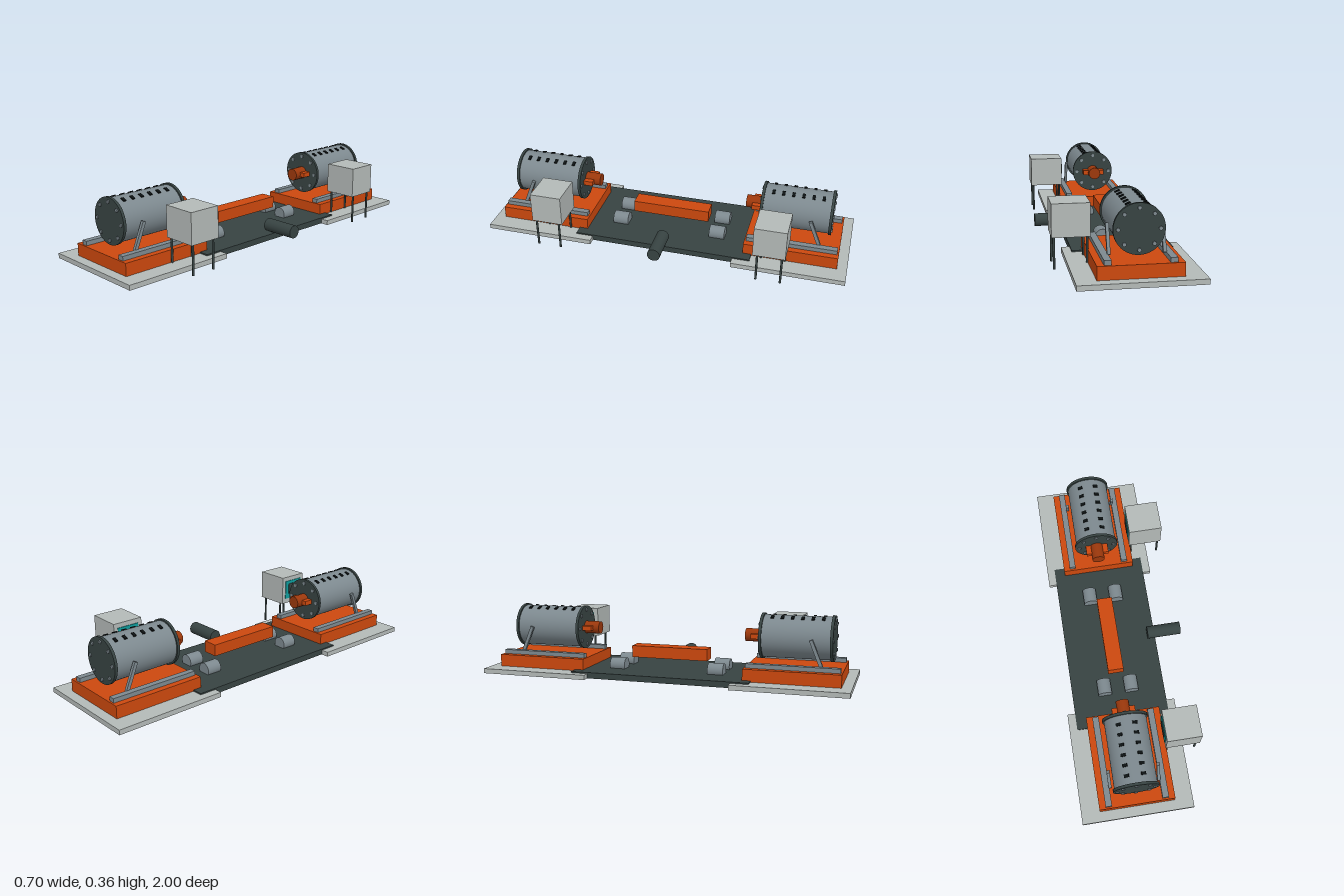
import * as THREE from 'three';

const mat = (name, color) => {
  const m = new THREE.MeshStandardMaterial({ color });
  m.name = name;
  return m;
};

export function createModel() {
  const M = {
    concrete: mat('concrete grey', 0xb3b9b7),
    dark: mat('dark slate', 0x374342),
    orange: mat('machine orange', 0xcc480e),
    rust: mat('rust orange', 0x9c380c),
    steel: mat('steel grey', 0x7d898f),
    teal: mat('teal', 0x0f9c9c),
    black: mat('slot black', 0x0c1112),
  };

  const add = (parent, name, geo, material, x, y, z) => {
    const mesh = new THREE.Mesh(geo, material);
    mesh.name = name;
    mesh.position.set(x, y, z);
    parent.add(mesh);
    return mesh;
  };
  // box given by its limits
  const box = (parent, name, material, x0, x1, y0, y1, z0, z1) =>
    add(parent, name, new THREE.BoxGeometry(x1 - x0, y1 - y0, Math.abs(z1 - z0)), material,
      (x0 + x1) / 2, (y0 + y1) / 2, (z0 + z1) / 2);
  // cylinder lying along z between two limits
  const rodZ = (parent, name, material, r, x, y, z0, z1, sides = 40) => {
    const geo = new THREE.CylinderGeometry(r, r, Math.abs(z1 - z0), sides).rotateX(Math.PI / 2);
    return add(parent, name, geo, material, x, y, (z0 + z1) / 2);
  };

  const root = new THREE.Group();
  root.name = 'twinDrumMachine';

  // central deck with beam, rollers and side pipe
  box(root, 'deck', M.dark, -0.31, 0.207, 0.001, 0.033, -0.49, 0.49);
  box(root, 'centreBeam', M.orange, -0.094, -0.008, 0.09, 0.154, -0.215, 0.215);
  for (const x of [-0.127, 0.023])
    for (const s of [1, -1])
      rodZ(root, 'roller', M.steel, 0.038, x, 0.052, s * 0.235, s * 0.32);
  add(root, 'sidePipe', new THREE.CylinderGeometry(0.035, 0.035, 0.189, 32).rotateZ(Math.PI / 2),
    M.dark, 0.2575, 0.073, 0);

  // drum with flanges, bolts, slots and shaft; s = +1 front, -1 back
  const drum = (parent, s) => {
    const g = new THREE.Group();
    g.name = 'drum';
    g.position.set(-0.05, 0.24, 0);
    parent.add(g);
    rodZ(g, 'drumBody', M.steel, 0.113, 0, 0, s * 0.515, s * 0.88, 48);
    rodZ(g, 'innerFlange', M.dark, 0.121, 0, 0, s * 0.507, s * 0.522, 48);
    rodZ(g, 'outerFlange', M.dark, 0.121, 0, 0, s * 0.875, s * 0.89, 48);
    for (let i = 0; i < 8; i++) {
      const a = i * Math.PI / 4, x = 0.098 * Math.cos(a), y = 0.098 * Math.sin(a);
      rodZ(g, 'bolt', M.steel, 0.01, x, y, s * 0.885, s * 0.896, 8);
      rodZ(g, 'bolt', M.steel, 0.01, x, y, s * 0.501, s * 0.512, 8);
    }
    for (const side of [-1, 1])
      for (let i = 0; i < 6; i++) {
        const a = side * 0.39;
        const slot = add(g, 'slot', new THREE.BoxGeometry(0.026, 0.012, 0.016), M.black,
          0.112 * Math.sin(a), 0.112 * Math.cos(a), s * (0.567 + i * 0.053));
        slot.rotation.z = -a;
      }
    rodZ(g, 'shaft', M.rust, 0.035, 0, 0, s * 0.42, s * 0.51, 16);
    box(g, 'shaftBracket', M.orange, -0.062, 0.062, -0.013, 0.013, s * 0.455, s * 0.507);
  };

  // control cabinet on four legs with a screen facing the drum
  const cabinet = (parent, s) => {
    const g = new THREE.Group();
    g.name = 'controlCabinet';
    parent.add(g);
    box(g, 'cabinetBody', M.concrete, 0.142, 0.327, 0.158, 0.322, s * 0.52, s * 0.69);
    box(g, 'screenFrame', M.teal, 0.138, 0.143, 0.187, 0.297, s * 0.543, s * 0.667);
    box(g, 'screen', M.dark, 0.134, 0.139, 0.217, 0.279, s * 0.567, s * 0.643);
    for (const x of [0.156, 0.314])
      for (const z of [0.544, 0.672])
        add(g, 'cabinetLeg', new THREE.CylinderGeometry(0.006, 0.006, 0.158, 10), M.dark, x, 0.079, s * z);
  };

  for (const s of [1, -1]) {
    const g = new THREE.Group();
    g.name = s > 0 ? 'frontStation' : 'backStation';
    root.add(g);
    box(g, 'groundPad', M.concrete, -0.353, 0.251, 0, 0.026, s * 0.395, s);
    box(g, 'basePlinth', M.orange, -0.253, 0.153, 0.026, 0.092, s * 0.443, s * 0.947);
    for (const side of [-1, 1]) {
      const x = -0.05 + side * 0.152;
      box(g, 'rail', M.steel, x - 0.017, x + 0.017, 0.092, 0.115, s * 0.453, s * 0.938);
      // leaning strut beside the drum
      const strut = add(g, 'strut', new THREE.BoxGeometry(0.016, 0.148, 0.018), M.steel,
        -0.05 + side * 0.131, 0.178, s * 0.809);
      strut.rotation.x = -s * 0.39;
    }
    drum(g, s);
    cabinet(g, s);
  }
  return root;
}
